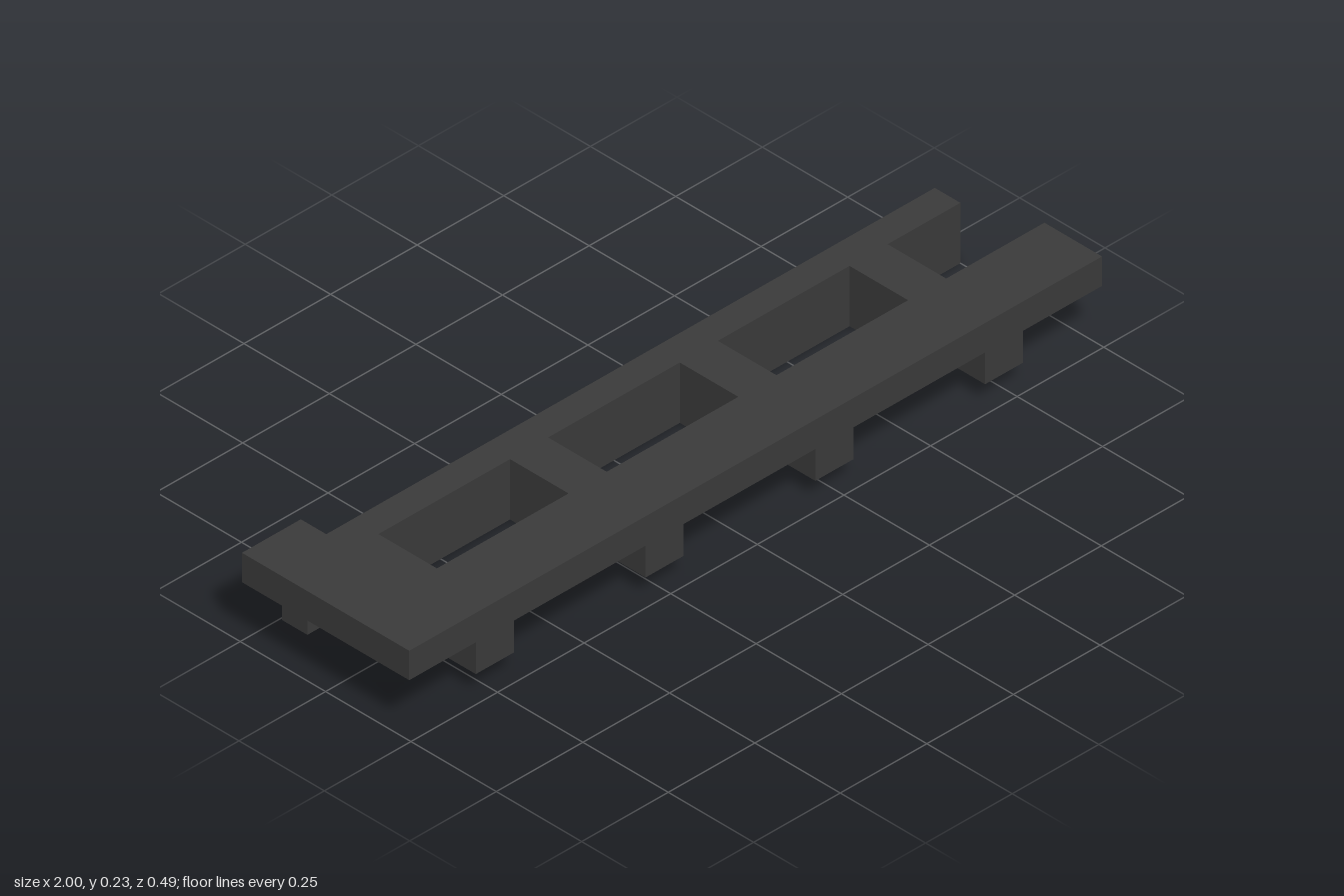
import * as THREE from 'three';

const TOP = 0.226, DECK = 0.152, BACK = -0.245, FRONT = 0.245;

// Flat-sided solid from an outline of [a, b] corners
function prism(points, depth) {
  const shape = new THREE.Shape(points.map(([a, b]) => new THREE.Vector2(a, b)));
  return new THREE.ExtrudeGeometry(shape, { depth, bevelEnabled: false });
}

export function createModel() {
  const model = new THREE.Group();
  const material = new THREE.MeshStandardMaterial({ color: 0x3a3a3a, flatShading: true });

  function add(name, geometry, x = 0, y = 0, z = 0) {
    const mesh = new THREE.Mesh(geometry, material);
    mesh.name = name;
    mesh.position.set(x, y, z);
    model.add(mesh);
  }

  // L-shaped top board, outline in (x, z), extruded downward
  const board = prism([
    [-1, BACK], [-0.83, BACK], [-0.83, 0.076], [1, 0.076], [1, FRONT], [-1, FRONT],
  ], TOP - DECK).rotateX(Math.PI / 2);
  add('topBoard', board, 0, TOP, 0);

  // Rail along the back
  const railStart = -0.885, railDepth = 0.075;
  add('backRail', new THREE.BoxGeometry(1 - railStart, DECK, railDepth),
    (1 + railStart) / 2, DECK / 2, BACK + railDepth / 2);

  // Four brackets, side profile in (z, y), extruded across x
  const width = 0.11;
  const bracket = prism([
    [-0.17, 0], [-0.057, 0], [0.037, 0.039], [0.132, 0.054],
    [0.227, 0.054], [0.227, DECK], [-0.17, DECK],
  ], width).rotateY(-Math.PI / 2).translate(width / 2, 0, 0);
  for (const x of [-0.735, -0.245, 0.245, 0.735]) add('bracket', bracket, x);

  return model;
}
